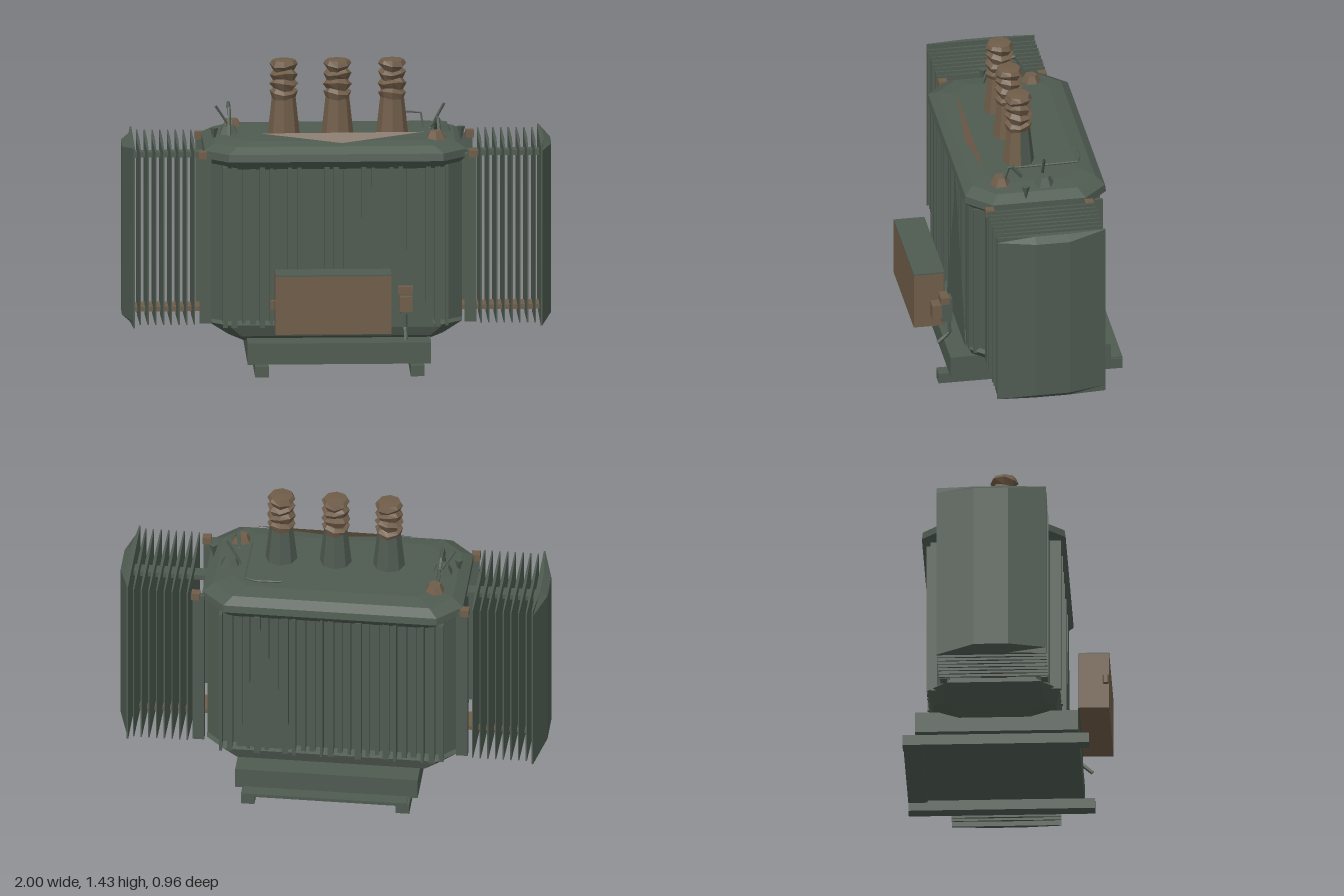
import * as THREE from 'three';

const mat = (name, color) => {
  const m = new THREE.MeshStandardMaterial({ color, flatShading: true, side: THREE.DoubleSide });
  m.name = name;
  return m;
};

// Skin stacked rings of [x, y, z] points, capped at both ends
function loft(rings) {
  const n = rings[0].length, pos = [];
  const tri = (...p) => p.forEach(v => pos.push(...v));
  for (let k = 0; k < rings.length - 1; k++) {
    const a = rings[k], b = rings[k + 1];
    for (let i = 0; i < n; i++) {
      const j = (i + 1) % n;
      tri(a[i], b[i], a[j]);
      tri(a[j], b[i], b[j]);
    }
  }
  const lo = rings[0], hi = rings[rings.length - 1];
  for (let i = 1; i < n - 1; i++) {
    tri(lo[0], lo[i], lo[i + 1]);
    tri(hi[0], hi[i + 1], hi[i]);
  }
  const g = new THREE.BufferGeometry();
  g.setAttribute('position', new THREE.Float32BufferAttribute(pos, 3));
  g.computeVertexNormals();
  return g;
}

// Rectangle with cut corners: half width, half depth, corner cut, height
const octagon = (hx, hz, c, y) => [
  [hx, -hz + c], [hx, hz - c], [hx - c, hz], [-hx + c, hz],
  [-hx, hz - c], [-hx, -hz + c], [-hx + c, -hz], [hx - c, -hz],
].map(([x, z]) => [x, y, z]);

export function createModel() {
  const model = new THREE.Group();
  model.name = 'powerTransformer';
  const green = mat('grey green paint', 0x4f5b51);
  const brown = mat('dull brown', 0x705d49);

  const add = (name, geo, material, parent = model, x = 0, y = 0, z = 0) => {
    const m = new THREE.Mesh(geo, material);
    m.name = name;
    m.position.set(x, y, z);
    parent.add(m);
    return m;
  };
  // Box given by its limits on each axis
  const box = (name, material, [x0, x1], [y0, y1], [z0, z1], parent = model) =>
    add(name, new THREE.BoxGeometry(x1 - x0, y1 - y0, z1 - z0), material, parent,
      (x0 + x1) / 2, (y0 + y1) / 2, (z0 + z1) / 2);
  const tube = (name, material, pts, r, parent = model) => {
    const path = new THREE.CatmullRomCurve3(pts.map(p => new THREE.Vector3(...p)), false, 'catmullrom', 0.1);
    return add(name, new THREE.TubeGeometry(path, 8, r, 5), material, parent);
  };
  const triangle = (name, material, a, b, c) => {
    const g = new THREE.BufferGeometry().setFromPoints([a, b, c].map(p => new THREE.Vector3(...p)));
    g.computeVertexNormals();
    return add(name, g, material);
  };

  // Base: two rails, plinth and rear sill
  for (const x of [-0.36, 0.365]) box('footRail', green, [x - 0.032, x + 0.032], [0, 0.05], [-0.49, 0.38]);
  box('plinth', green, [-0.425, 0.43], [0.05, 0.15], [-0.43, 0.33]);
  box('rearSill', green, [-0.38, 0.39], [0.04, 0.056], [-0.49, -0.4]);

  // Tank with tapered bottom, and lid with sloped rim
  const tank = new THREE.Group();
  tank.name = 'tank';
  tank.position.set(-0.01, 0, -0.06);
  model.add(tank);
  add('tankBody', loft([
    octagon(0.43, 0.2, 0.05, 0.12), octagon(0.5, 0.29, 0.06, 0.165),
    octagon(0.59, 0.31, 0.09, 0.22), octagon(0.59, 0.27, 0.07, 0.235), octagon(0.59, 0.27, 0.07, 0.98),
  ]), green, tank);
  add('lid', loft([
    octagon(0.56, 0.3, 0.09, 0.96), octagon(0.61, 0.335, 0.11, 1.0), octagon(0.61, 0.33, 0.11, 1.035),
    octagon(0.56, 0.29, 0.1, 1.065), octagon(0.48, 0.22, 0.08, 1.078),
  ]), green, tank);

  // Vertical cooling ribs on front and back, slightly uneven
  for (const s of [-1, 1]) {
    for (let i = 0; i < 25; i++) {
      const x = -0.516 + i * 0.043, w = 0.011 + 0.004 * Math.sin(i * 2.3);
      const d = 0.305 + 0.012 * Math.sin(i * 1.7 + s);
      const rib = box('coolingRib', green, [x - w, x + w], [0.21, 0.97], [0.25, d], tank);
      rib.position.z *= s;
    }
  }
  triangle('frontPlate', green, [-0.06, 0.21, 0.262], [0.45, 0.21, 0.262], [0.18, 0.96, 0.262]);
  triangle('backPlate', green, [0.42, 0.25, -0.385], [0.15, 0.25, -0.385], [0.32, 0.92, -0.385]);

  // End radiators: thin fins, a faceted outer shell, posts and headers
  for (const s of [1, -1]) {
    const rad = new THREE.Group();
    rad.name = s > 0 ? 'leftRadiator' : 'rightRadiator';
    rad.position.z = -0.055;
    rad.rotation.y = s > 0 ? 0 : Math.PI;
    model.add(rad);
    const finRing = y => [[-0.003, -0.255], [0.003, -0.255], [0.008, 0], [0.003, 0.255], [-0.003, 0.255], [-0.006, 0]]
      .map(([x, z]) => [x, y, z]);
    for (let i = 0; i < 8; i++) {
      add('radiatorFin', loft([finRing(0.215), finRing(1.04)]), green, rad, 0.668 + i * 0.036);
    }
    const shell = (y, out) => [[0.945, -0.255], [0.952, -0.255], [out, -0.08], [out, 0.08], [0.952, 0.255], [0.945, 0.255]]
      .map(([x, z]) => [x, y, z]);
    add('outerFin', loft([shell(0.2, 0.965), shell(0.23, 1), shell(1.03, 1), shell(1.055, 0.965)]), green, rad);
    for (const z of [-0.235, 0.235]) {
      box('cornerPost', green, [0.59, 0.645], [0.22, 1.02], [z - 0.015, z + 0.015], rad);
      box('postCap', brown, [0.61, 0.65], [1.0, 1.035], [z - 0.02, z + 0.02], rad);
    }
    box('upperHeader', green, [0.58, 0.95], [0.965, 0.99], [-0.03, 0.03], rad);
    box('lowerHeader', brown, [0.58, 0.95], [0.24, 0.262], [-0.06, 0.06], rad);
  }

  // Three ribbed insulators on two-tone turrets
  const profile = [[0, 0.17], [0.055, 0.17], [0.066, 0.2], [0.05, 0.215], [0.068, 0.245], [0.05, 0.262],
    [0.066, 0.29], [0.048, 0.305], [0.066, 0.33], [0.055, 0.352], [0, 0.356]].map(p => new THREE.Vector2(...p));
  [-0.245, 0.005, 0.26].forEach((x, k) => {
    const bushing = new THREE.Group();
    bushing.name = 'bushing';
    bushing.position.set(x, 1.075, -0.02);
    model.add(bushing);
    const stack = new THREE.LatheGeometry(profile, 8);
    const p = stack.attributes.position;
    for (let i = 0; i < p.count; i++) {
      const a = Math.atan2(p.getZ(i), p.getX(i));
      if (Math.hypot(p.getX(i), p.getZ(i)) > 0.01 && p.getY(i) < 0.34) {
        p.setY(i, p.getY(i) + 0.008 * Math.sin(2 * a + p.getY(i) * 40 + k));
      }
    }
    add('insulator', stack, brown, bushing);
    for (const [name, material, start] of [['turretFront', brown, -Math.PI / 2], ['turretBack', green, Math.PI / 2]]) {
      add(name, new THREE.CylinderGeometry(0.055, 0.075, 0.18, 4, 1, true, start, Math.PI), material, bushing, 0, 0.09, 0);
    }
  });

  // Lid fittings
  triangle('lidStrip', brown, [-0.36, 1.115, 0.165], [0.02, 1.072, 0.19], [0.4, 1.118, 0.165]);
  tube('lidPipe', green, [[0.23, 1.12, -0.29], [0.4, 1.12, -0.29], [0.4, 1.115, 0.03]], 0.005);
  tube('leftArch', green, [[0.48, 1.06, 0.1], [0.47, 1.17, 0.06], [0.46, 1.1, 0]], 0.01);
  tube('rightArch', green, [[-0.5, 1.06, 0.02], [-0.5, 1.19, -0.03], [-0.5, 1.2, -0.15], [-0.49, 1.07, -0.19]], 0.009);
  tube('leftLever', green, [[0.44, 1.08, -0.1], [0.505, 1.2, -0.1]], 0.007);
  tube('rightLever', green, [[-0.49, 1.09, -0.08], [-0.56, 1.2, -0.06]], 0.006);
  for (const [x, z, m] of [[-0.48, -0.21, brown], [-0.5, -0.05, green], [0.49, -0.1, green], [0.46, 0.1, brown]]) {
    add('lidFitting', new THREE.CylinderGeometry(0.03, 0.055, 0.05, 6), m, model, x, 1.085, z);
  }
  for (const x of [-0.57, 0.58]) {
    add('lidLug', new THREE.ConeGeometry(0.02, 0.07, 4), green, model, x, 1.075, 0).rotation.x = Math.PI;
  }

  // Control cabinet with painted top, and the valve beside it
  box('cabinet', brown, [-0.3, 0.24], [0.22, 0.495], [0.33, 0.47]);
  box('cabinetTop', green, [-0.3, 0.24], [0.495, 0.502], [0.33, 0.47]);
  box('cabinetBack', green, [-0.3, 0.24], [0.22, 0.5], [0.324, 0.33]);
  add('cabinetLatch', new THREE.CylinderGeometry(0.015, 0.015, 0.04, 6), brown, model, -0.31, 0.36, 0.455);
  box('valveBody', green, [0.285, 0.335], [0.29, 0.41], [0.305, 0.355]);
  box('valveFace', brown, [0.28, 0.34], [0.31, 0.38], [0.355, 0.4]);
  box('valveCap', brown, [0.275, 0.345], [0.385, 0.42], [0.32, 0.36]);
  tube('valveSpout', green, [[0.31, 0.3, 0.32], [0.31, 0.22, 0.315], [0.31, 0.17, 0.37]], 0.01);

  return model;
}
